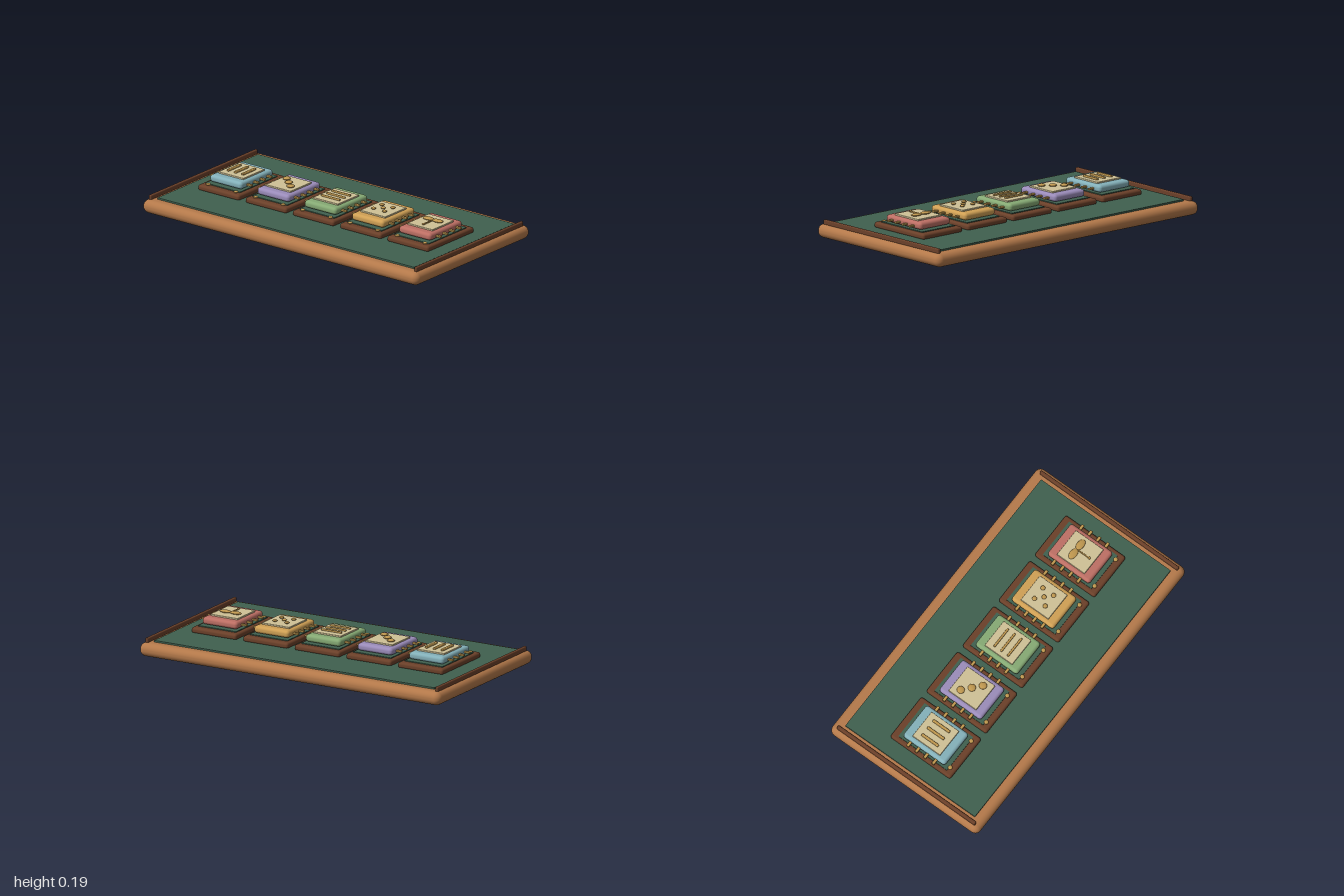
import * as THREE from 'three';
import { RoundedBoxGeometry } from 'three/addons/geometries/RoundedBoxGeometry.js';

const mat = (name, color) => {
  const m = new THREE.MeshStandardMaterial({ color });
  m.name = name;
  return m;
};

export function createModel() {
  const wood = mat('wood', 0xb4794a);
  const darkWood = mat('dark wood', 0x6b4029);
  const felt = mat('green felt', 0x40604f);
  const cream = mat('cream', 0xcfc196);
  const gold = mat('gold', 0xc0984f);
  const tileMats = [
    mat('blue', 0x84b1ba), mat('purple', 0x9b8cba), mat('green', 0x86aa74),
    mat('amber', 0xd0a054), mat('red', 0xbd6f64),
  ];

  const model = new THREE.Group();
  model.name = 'tileBoard';

  const add = (parent, name, geometry, material, x, y, z) => {
    const mesh = new THREE.Mesh(geometry, material);
    mesh.name = name;
    mesh.position.set(x, y, z);
    parent.add(mesh);
    return mesh;
  };
  // Rounded block given by its size and its bottom height
  const block = (parent, name, material, [w, h, d], r, x, bottom, z) =>
    add(parent, name, new RoundedBoxGeometry(w, h, d, 4, r), material, x, bottom + h / 2, z);
  // Flattened bead
  const bead = (parent, name, material, [rx, ry, rz], x, y, z) =>
    add(parent, name, new THREE.SphereGeometry(1, 20, 12), material, x, y, z).scale.set(rx, ry, rz);

  // Board, felt and end rails
  block(model, 'board', wood, [2, 0.08, 1.05], 0.038, 0, 0, 0);
  add(model, 'feltTop', new THREE.BoxGeometry(1.86, 0.012, 0.92), felt, 0, 0.084, 0);
  for (const s of [-1, 1]) {
    block(model, 'endRail', darkWood, [0.02, 0.03, 0.98], 0.007, s * 0.963, 0.076, 0);
  }

  // Raised symbols, one for each tile
  const top = 0.185;
  const symbols = [
    (g) => {
      for (const i of [-1, 0, 1]) block(g, 'uprightBar', gold, [0.017, 0.013, 0.12], 0.005, i * 0.053, 0.177, 0);
    },
    (g) => {
      for (const i of [-1, 0, 1]) bead(g, 'largeDot', gold, [0.023, 0.009, 0.023], i * 0.048, top, i * 0.043);
    },
    (g) => {
      for (const i of [-1, 0, 1]) block(g, 'levelBar', gold, [0.135, 0.012, 0.013], 0.005, 0, 0.177, i * 0.048);
    },
    (g) => {
      bead(g, 'smallDot', gold, [0.014, 0.007, 0.014], 0, top, 0);
      for (const sx of [-1, 1]) for (const sz of [-1, 1]) {
        bead(g, 'smallDot', gold, [0.014, 0.007, 0.014], sx * 0.04, top, sz * 0.038);
      }
    },
    (g) => {
      for (const s of [-1, 1]) bead(g, 'leaf', gold, [0.037, 0.008, 0.022], s * 0.034, top, -0.023);
      block(g, 'stem', gold, [0.007, 0.01, 0.085], 0.003, 0, 0.177, 0.02);
      bead(g, 'stemTip', gold, [0.008, 0.006, 0.008], 0, top - 0.001, 0.065);
    },
  ];

  // Five trays, each holding a coloured tile
  tileMats.forEach((tileMat, i) => {
    const g = new THREE.Group();
    g.name = 'tileUnit' + (i + 1);
    g.position.x = (i - 2) * 0.343;
    model.add(g);

    block(g, 'tray', darkWood, [0.3, 0.035, 0.426], 0.014, 0, 0.085, 0);
    add(g, 'trayPad', new THREE.BoxGeometry(0.25, 0.008, 0.345), felt, 0, 0.121, 0);
    block(g, 'tile', tileMat, [0.232, 0.043, 0.298], 0.018, 0, 0.127, 0);
    block(g, 'tileFace', cream, [0.182, 0.012, 0.196], 0.003, 0, 0.167, 0);

    // Side pins and front studs
    for (const s of [-1, 1]) {
      for (const z of [-0.09, -0.03, 0.03, 0.09]) {
        block(g, 'sidePin', gold, [0.05, 0.011, 0.018], 0.003, s * 0.125, 0.14, z);
      }
      bead(g, 'frontStud', gold, [0.013, 0.007, 0.013], s * 0.1, 0.123, 0.177);
    }
    symbols[i](g);
  });

  return model;
}
